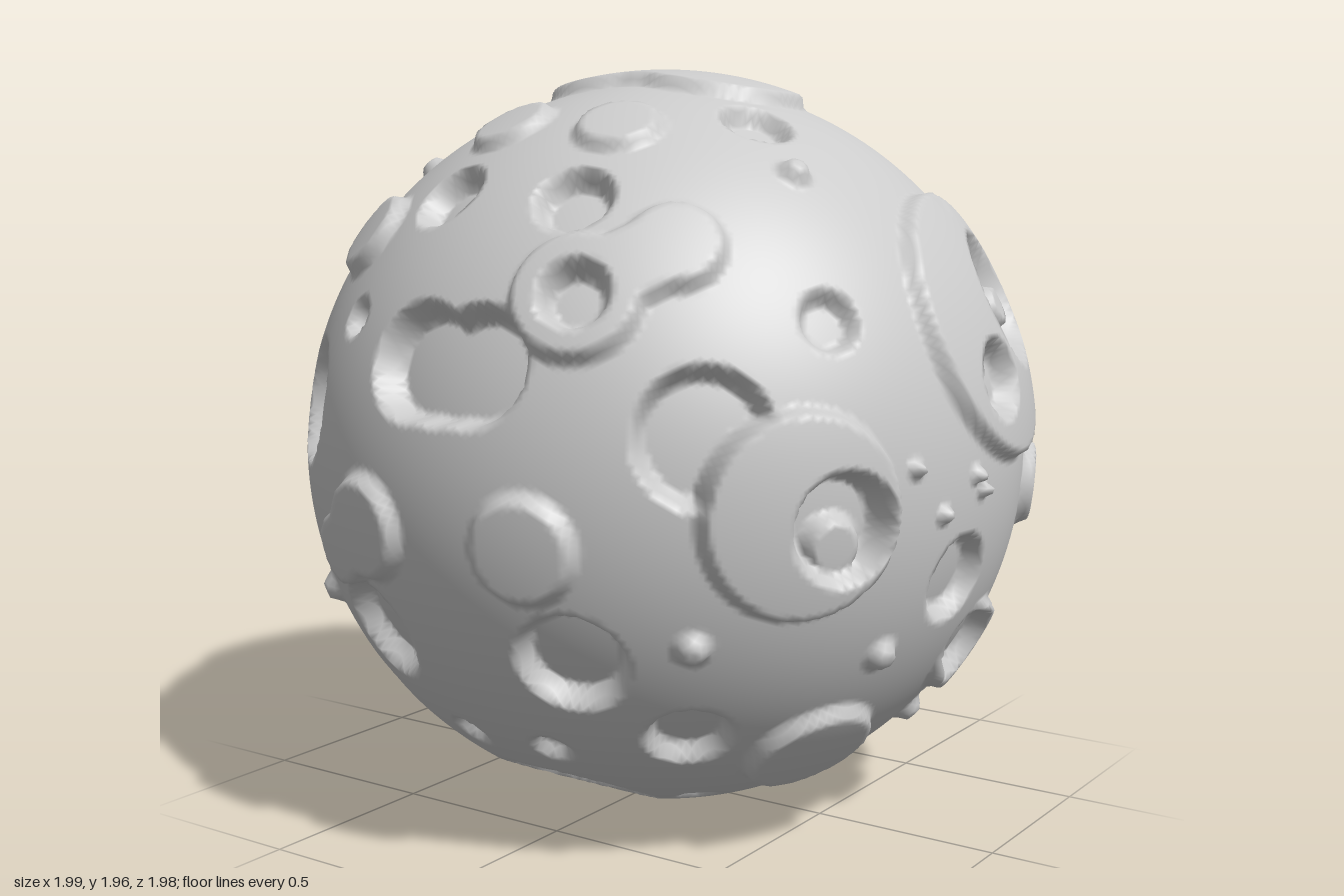
import * as THREE from 'three';
import { mergeVertices } from 'three/addons/utils/BufferGeometryUtils.js';

const R = 0.965, CY = 0.98;      // ball radius and centre height
const PLATE = 0.034, PIT = -0.06, BUMP = 0.032;

// Directions from the ball's centre
const depth = (a, b) => Math.sqrt(Math.max(0, R * R - a * a - b * b));
const dir = (x, y, z) => new THREE.Vector3(x, y, z).normalize();
const front = (x, y) => dir(x, y - CY, depth(x, y - CY));
const side = (z, y) => dir(depth(z, y - CY), y - CY, z);
const top = (x, z) => dir(x, depth(x, z), z);
const back = (x, y) => dir(x, y - CY, -depth(x, y - CY));
const under = (x, z) => dir(x, -depth(x, z), z);

// Each mark is a round patch that brings the surface to a given level
const marks = [];
const one = (c, r, level, soft = 0.024) => marks.push({ c, r, level, soft });
const pair = (c, r, level, soft) => {
  one(c, r, level, soft);
  one(new THREE.Vector3(-c.x, c.y, c.z), r, level, soft);
};
const strip = (a, b, r, level) => {
  for (let i = 0; i <= 6; i++) one(a.clone().lerp(b, i / 6).normalize(), r, level);
};
const ring = (c, r, hole, rHole) => { pair(c, r, PLATE); pair(hole, rHole, -0.02); };

function addMarks() {
  // crown plate and the plates round it
  pair(top(0.14, -0.05), 0.222, PLATE);
  one(top(0, -0.05), 0.2, PLATE);
  pair(top(0.165, 0.44), 0.105, PLATE * 0.8);
  pair(top(0.3, -0.78), 0.125, PLATE);
  // upper craters
  pair(top(0.19, -0.43), 0.148, PIT);
  pair(top(0.405, 0.19), 0.085, PIT * 0.8);
  pair(top(0.19, 0.66), 0.09, PIT);
  one(top(0, -0.85), 0.065, PIT * 0.6);
  // front craters
  pair(front(0.085, 1.28), 0.138, PIT * 1.3);
  one(front(0, 1.26), 0.12, PIT * 1.3);
  pair(front(0.61, 1.13), 0.155, PIT);
  pair(front(0.3, 0.58), 0.13, PIT);
  pair(front(0.47, 0.37), 0.1, PIT * 0.8);
  pair(front(0.13, 0.31), 0.045, PIT * 0.6);
  pair(front(0.3, 0.11), 0.045, PIT * 0.5);
  one(front(0, 0.105), 0.2, PIT);
  one(front(-0.37, 1.36), 0.042, PIT * 0.7);
  one(front(-0.85, 0.82), 0.085, PIT * 0.8);
  pair(side(0.44, 1.38), 0.068, PIT * 0.7);
  // front plates
  pair(front(0.46, 1.55), 0.112, PLATE);
  pair(front(0.24, 0.865), 0.126, PLATE);
  one(front(-0.36, 0.79), 0.088, PLATE);
  strip(front(-0.24, 0.865), front(-0.36, 0.79), 0.085, PLATE);
  one(front(0.3, 1.44), 0.155, PLATE);
  strip(front(0.3, 1.44), front(0.46, 1.55), 0.095, PLATE);
  one(front(0.3, 1.435), 0.075, -0.035);
  // lone round plate with a nested crater
  one(side(0.575, 0.945), 0.24, PLATE + 0.012);
  one(side(0.5, 0.92), 0.118, PIT * 0.7);
  one(side(0.5, 0.865), 0.07, 0);
  // large flank plates with craters
  pair(side(-0.16, 1.35), 0.352, PLATE);
  pair(side(-0.28, 1.385), 0.168, -0.025);
  pair(side(-0.24, 1.37), 0.058, 0.02);
  pair(side(-0.055, 1.205), 0.088, -0.025);
  // flank craters and plates
  pair(side(0.09, 0.73), 0.105, PIT * 0.8);
  pair(side(-0.63, 0.64), 0.128, PIT);
  pair(side(-0.07, 0.13), 0.115, PIT * 0.8);
  pair(side(-0.73, 0.99), 0.05, PIT * 0.5);
  pair(side(0.28, 0.3), 0.165, PLATE);
  pair(side(-0.45, 0.32), 0.12, PLATE);
  ring(side(-0.44, 0.89), 0.108, side(-0.435, 0.9), 0.062);
  ring(side(-0.84, 0.59), 0.105, side(-0.84, 0.59), 0.05);
  ring(side(-0.15, 0.5), 0.13, side(-0.115, 0.52), 0.092);
  // dumbbell plate at the back
  pair(back(0.17, 0.98), 0.14, PLATE);
  strip(back(-0.17, 0.98), back(0.17, 0.98), 0.088, PLATE);
  pair(back(0.16, 0.98), 0.03, 0);
  // lower back craters
  one(back(0, 0.39), 0.088, PIT * 0.8);
  pair(under(0.065, -0.41), 0.095, PIT * 0.8);
  // small bumps
  const bumps = [
    side(0.28, 1.71), side(-0.17, 1.62), side(-0.57, 1.6), side(-0.71, 1.25),
    side(-0.38, 0.54), side(-0.17, 0.3), side(0.29, 0.57), side(-0.46, 0.13),
    front(0.56, 0.635), back(0.35, 1.27), back(0.2, 0.68),
  ];
  for (const c of bumps) pair(c, 0.034, BUMP, 0.03);
  for (const c of [side(0.3, 1.03), side(0.2, 0.91), side(0.04, 0.95), side(0.07, 0.99)]) {
    pair(c, 0.016, BUMP, 0.018);
  }
}

export function createModel() {
  marks.length = 0;
  addMarks();

  // fine ball, pushed in and out along its radius by the marks
  const raw = new THREE.IcosahedronGeometry(1, 80);
  raw.deleteAttribute('normal');
  raw.deleteAttribute('uv');
  const geometry = mergeVertices(raw, 1e-5);
  const pos = geometry.attributes.position;
  const p = new THREE.Vector3();
  for (let i = 0; i < pos.count; i++) {
    p.fromBufferAttribute(pos, i).normalize();
    let level = 0;
    for (const m of marks) {
      const d = p.distanceTo(m.c) * R;
      if (d > m.r + m.soft) continue;
      const k = 1 - THREE.MathUtils.smoothstep(d, m.r - m.soft / 2, m.r + m.soft / 2);
      level += (m.level - level) * k;
    }
    p.multiplyScalar(R + level);
    pos.setXYZ(i, p.x, p.y, p.z);
  }
  geometry.computeVertexNormals();

  const ball = new THREE.Mesh(geometry, new THREE.MeshStandardMaterial({ color: 0xcccccc }));
  ball.name = 'crateredBall';
  ball.position.y = CY;
  const group = new THREE.Group();
  group.name = 'crateredSphere';
  group.add(ball);
  return group;
}
